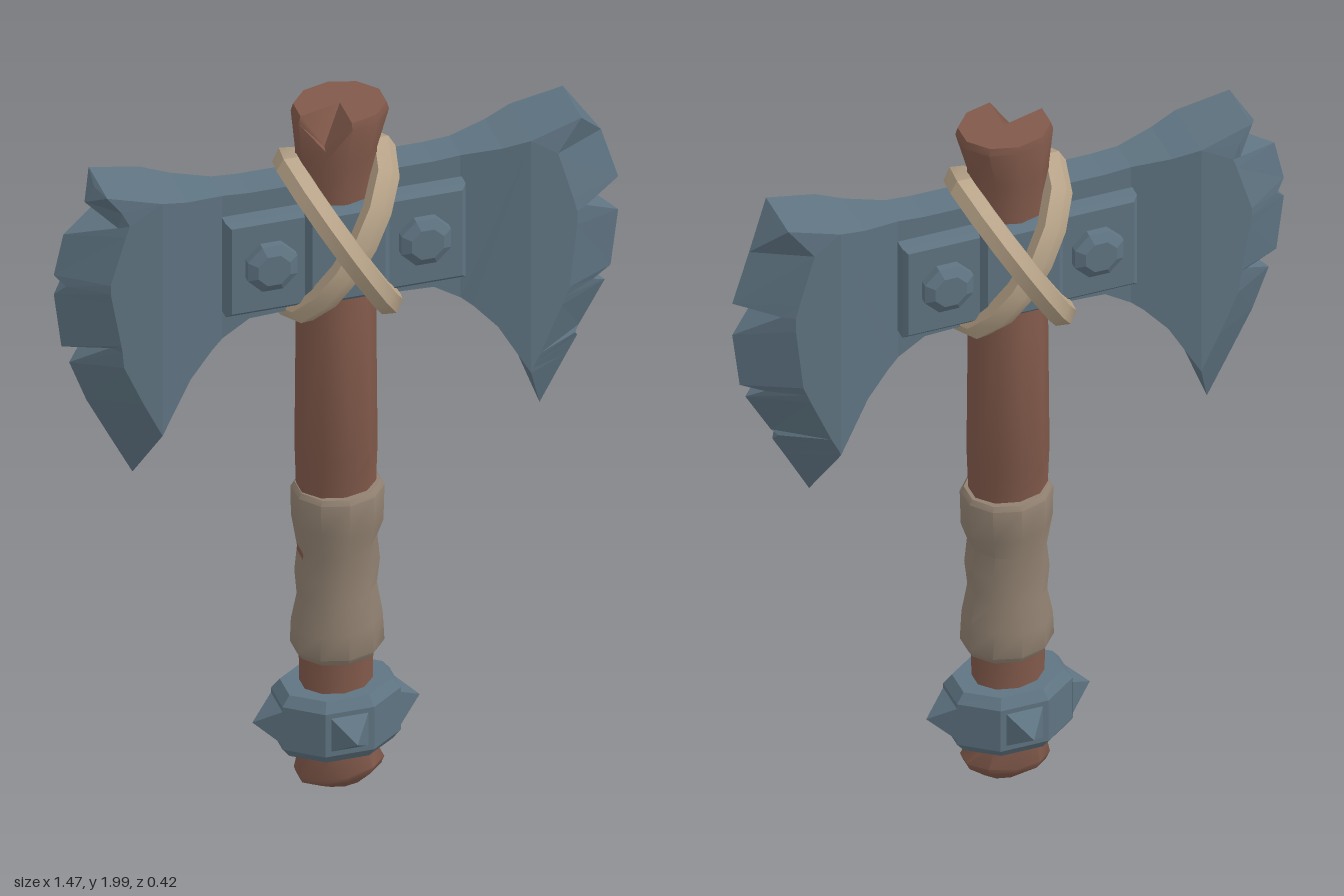
import * as THREE from 'three';
import { toCreasedNormals } from 'three/addons/utils/BufferGeometryUtils.js';

const material = (name, color) => Object.assign(new THREE.MeshStandardMaterial({ color }), { name });

// Stack of elliptical rings, top to bottom: [y, radiusX, radiusZ, offsetX, tilt]
function loft(rows, sides, phase = 0, crease = 0.7, adjust = null) {
  const n = rows.length - 1;
  const g = new THREE.CylinderGeometry(1, 1, 1, sides, n, false, phase);
  const p = g.attributes.position;
  for (let i = 0; i < p.count; i++) {
    const k = Math.round((0.5 - p.getY(i)) * n);
    const [y, rx, rz, ox = 0, tilt = 0] = rows[k];
    const v = new THREE.Vector3(p.getX(i) * rx + ox, y + tilt * p.getX(i), p.getZ(i) * rz);
    if (adjust) adjust(v, k);
    p.setXYZ(i, v.x, v.y, v.z);
  }
  return toCreasedNormals(g, crease);
}

// Half of the axe head; bevel rows are [ridgeX, ridgeY, ridgeZ, edgeX, edgeY, edgeZ]
function bladeGeometry(rows, sign) {
  const ridge = rows.map(r => new THREE.Vector3(sign * r[0], r[1], r[2]));
  const edge = rows.map(r => new THREE.Vector3(sign * r[3], r[4], r[5]));
  const points = list => list.map(([x, y, z]) => new THREE.Vector3(sign * x, y, z));
  const top = points([[0, 1.81, 0.047], [0.24, 1.81, 0.047], [0.31, 1.815, 0.047], [0.41, 1.83, 0.072], [0.48, 1.85, 0.09]]);
  const bottom = points([[0.4, 1.305, 0.07], [0.34, 1.37, 0.055], [0.31, 1.395, 0.047], [0.24, 1.44, 0.047], [0, 1.45, 0.047]]);
  const body = ridge.slice(0, -1);
  const last = body[body.length - 1];
  const out = [];
  const back = v => new THREE.Vector3(v.x, v.y, -v.z);
  const tri = (a, b, c) => {
    const area = new THREE.Vector3().crossVectors(b.clone().sub(a), c.clone().sub(a)).length();
    if (area > 1e-7) for (const v of [a, b, c]) out.push(v.x, v.y, v.z);
  };
  // Front triangle together with its twin on the back
  const pair = (a, b, c) => {
    if ((b.x - a.x) * (c.y - a.y) - (b.y - a.y) * (c.x - a.x) < 0) [b, c] = [c, b];
    tri(a, b, c);
    tri(back(a), back(c), back(b));
  };
  const faces = [
    [...top.slice(0, 3), ...bottom.slice(2)],
    [...top.slice(2), last, ...bottom.slice(0, 3)],
    [top[4], ...body],
  ];
  for (const f of faces) {
    const flat = f.map(v => new THREE.Vector2(v.x, v.y));
    for (const [a, b, c] of THREE.ShapeUtils.triangulateShape(flat, [])) pair(f[a], f[b], f[c]);
  }
  for (let i = 0; i + 1 < rows.length; i++) {
    pair(ridge[i], edge[i], edge[i + 1]);
    pair(ridge[i], edge[i + 1], ridge[i + 1]);
  }
  // Rim and notch walls
  const outline = [...top, ridge[0], ...edge, last, ...bottom];
  for (let i = 0; i + 1 < outline.length; i++) {
    const p = outline[i], q = outline[i + 1], pb = back(p), qb = back(q);
    if (sign > 0) { tri(p, q, qb); tri(p, qb, pb); }
    else { tri(p, qb, q); tri(p, pb, qb); }
  }
  const g = new THREE.BufferGeometry();
  g.setAttribute('position', new THREE.Float32BufferAttribute(out, 3));
  g.computeVertexNormals();
  return g;
}

// Chamfered slab lying in the xy plane, symmetric in z
function slab(width, height, halfDepth, bevel) {
  const w = width / 2 - bevel, h = height / 2 - bevel;
  const s = new THREE.Shape([[-w, -h], [w, -h], [w, h], [-w, h]].map(p => new THREE.Vector2(...p)));
  const depth = 2 * (halfDepth - bevel);
  return new THREE.ExtrudeGeometry(s, { depth, bevelEnabled: true, bevelThickness: bevel, bevelSize: bevel, bevelSegments: 1 })
    .translate(0, 0, -depth / 2);
}

// Slanted oval loop for the lashing
class LashCurve extends THREE.Curve {
  constructor(side) { super(); this.side = side; }
  getPoint(t, target = new THREE.Vector3()) {
    const a = t * Math.PI * 2, c = Math.cos(a);
    return target.set(-this.side * 0.122 * c, 1.632 + 0.205 * c, 0.165 * Math.sin(a) + 0.013 * this.side);
  }
}

export function createModel() {
  const root = new THREE.Group();
  root.name = 'doubleAxe';
  const metal = material('blue steel', 0x5f7482);
  const wood = material('brown wood', 0x81594a);
  const rope = material('pale rope', 0xb9a58a);
  const leather = material('worn leather', 0x918171);
  const add = (name, geometry, mat) => {
    const m = new THREE.Mesh(geometry, mat);
    m.name = name;
    root.add(m);
    return m;
  };

  // Shaft with a split in its top rim
  add('shaft', loft([
    [2, 0.118, 0.1, 0.01], [1.98, 0.124, 0.104, 0.01], [1.87, 0.103, 0.092], [1.78, 0.1, 0.088],
    [1.46, 0.1, 0.088], [1.4, 0.1, 0.099], [1.0, 0.103, 0.106], [0.9, 0.102, 0.082],
    [0.4, 0.095, 0.075], [0.13, 0.09, 0.07], [0.055, 0.116, 0.078, 0.008, 0.01],
    [0.035, 0.108, 0.07, 0.008, 0.01], [0.008, 0.06, 0.045, 0.01],
  ], 10, 0, 0.7, (v, k) => {
    if (k < 2 && v.z > 0.06 && v.x < -0.03) v.set(-0.05, 1.92 - k * 0.01, 0.062 + k * 0.012);
  }), wood);

  // Leather grip with sagging turns
  add('grip', loft([
    [0.885, 0.108, 0.097, 0.004], [0.872, 0.118, 0.105, 0.004], [0.78, 0.116, 0.105, 0.003, -0.01],
    [0.71, 0.101, 0.088, 0.003, 0.015], [0.64, 0.108, 0.091, 0.003, 0.015], [0.57, 0.101, 0.088, 0.002, 0.015],
    [0.49, 0.115, 0.105, 0.002, 0.01], [0.415, 0.119, 0.102, 0.003], [0.395, 0.106, 0.09, 0.003],
  ], 10, 0, 0.7), leather);

  // Spiked collar near the butt
  add('collar', loft([
    [0.302, 0.145, 0.105], [0.275, 0.167, 0.124], [0.15, 0.167, 0.124], [0.123, 0.145, 0.105],
  ], 8, Math.PI / 8, 0.2), metal);
  for (let i = 0; i < 4; i++) {
    const g = new THREE.ConeGeometry(0.07, 0.066, 4).rotateY(Math.PI / 4).rotateX(Math.PI / 2);
    const spike = add('collarSpike', toCreasedNormals(g, 0.2), metal);
    const a = i * Math.PI / 2, r = i % 2 ? 0.185 : 0.146;
    spike.position.set(Math.sin(a) * r, 0.213, Math.cos(a) * r);
    spike.rotation.y = a;
  }

  // Blades with chipped edges
  add('leftBlade', bladeGeometry([
    [0.615, 1.885, 0.077, 0.625, 1.873, 0], [0.55, 1.8, 0.09, 0.69, 1.79, 0],
    [0.59, 1.66, 0.09, 0.735, 1.642, 0], [0.6, 1.62, 0.09, 0.63, 1.62, 0.07],
    [0.6, 1.58, 0.09, 0.735, 1.545, 0], [0.58, 1.4, 0.09, 0.715, 1.385, 0],
    [0.57, 1.375, 0.09, 0.66, 1.372, 0.03], [0.56, 1.35, 0.09, 0.7, 1.345, 0],
    [0.505, 1.22, 0.09, 0.632, 1.225, 0], [0.495, 1.2, 0.09, 0.618, 1.213, 0.015],
    [0.485, 1.18, 0.09, 0.628, 1.195, 0], [0.48, 1.165, 0.09, 0.6, 1.145, 0],
    [0.53, 1.015, 0, 0.53, 1.015, 0],
  ], 1), metal);
  add('rightBlade', bladeGeometry([
    [0.62, 1.885, 0.077, 0.63, 1.875, 0], [0.585, 1.84, 0.085, 0.655, 1.835, 0],
    [0.565, 1.8, 0.09, 0.59, 1.79, 0.075], [0.575, 1.77, 0.09, 0.71, 1.75, 0],
    [0.615, 1.635, 0.09, 0.735, 1.635, 0], [0.615, 1.61, 0.09, 0.71, 1.608, 0.02],
    [0.61, 1.58, 0.09, 0.735, 1.578, 0], [0.587, 1.45, 0.09, 0.715, 1.42, 0],
    [0.584, 1.43, 0.09, 0.61, 1.438, 0.07], [0.58, 1.385, 0.09, 0.695, 1.37, 0],
    [0.53, 1.27, 0.09, 0.65, 1.25, 0], [0.48, 1.165, 0.09, 0.584, 1.12, 0],
    [0.53, 1.015, 0, 0.53, 1.015, 0],
  ], -1), metal);

  // Mounting plate, its raised middle and the rivets
  add('mountingPlate', slab(0.625, 0.275, 0.092, 0.012).translate(0, 1.615, 0), metal);
  add('plateMiddle', slab(0.22, 0.275, 0.108, 0.015).translate(0, 1.615, 0), metal);
  for (const x of [-0.2, 0.2]) for (const z of [-1, 1]) {
    const g = loft([[0.126, 0.045, 0.045], [0.112, 0.07, 0.07], [0.08, 0.07, 0.07]], 8, Math.PI / 8, 0.2);
    const rivet = add('rivet', g.rotateX(z * Math.PI / 2), metal);
    rivet.position.set(x, 1.62, 0);
  }

  // Crossed lashing round the head
  for (const side of [1, -1]) {
    const g = new THREE.TubeGeometry(new LashCurve(side), 14, 0.037, 6, true);
    add('lashing', toCreasedNormals(g, 0.5), rope);
  }
  return root;
}
